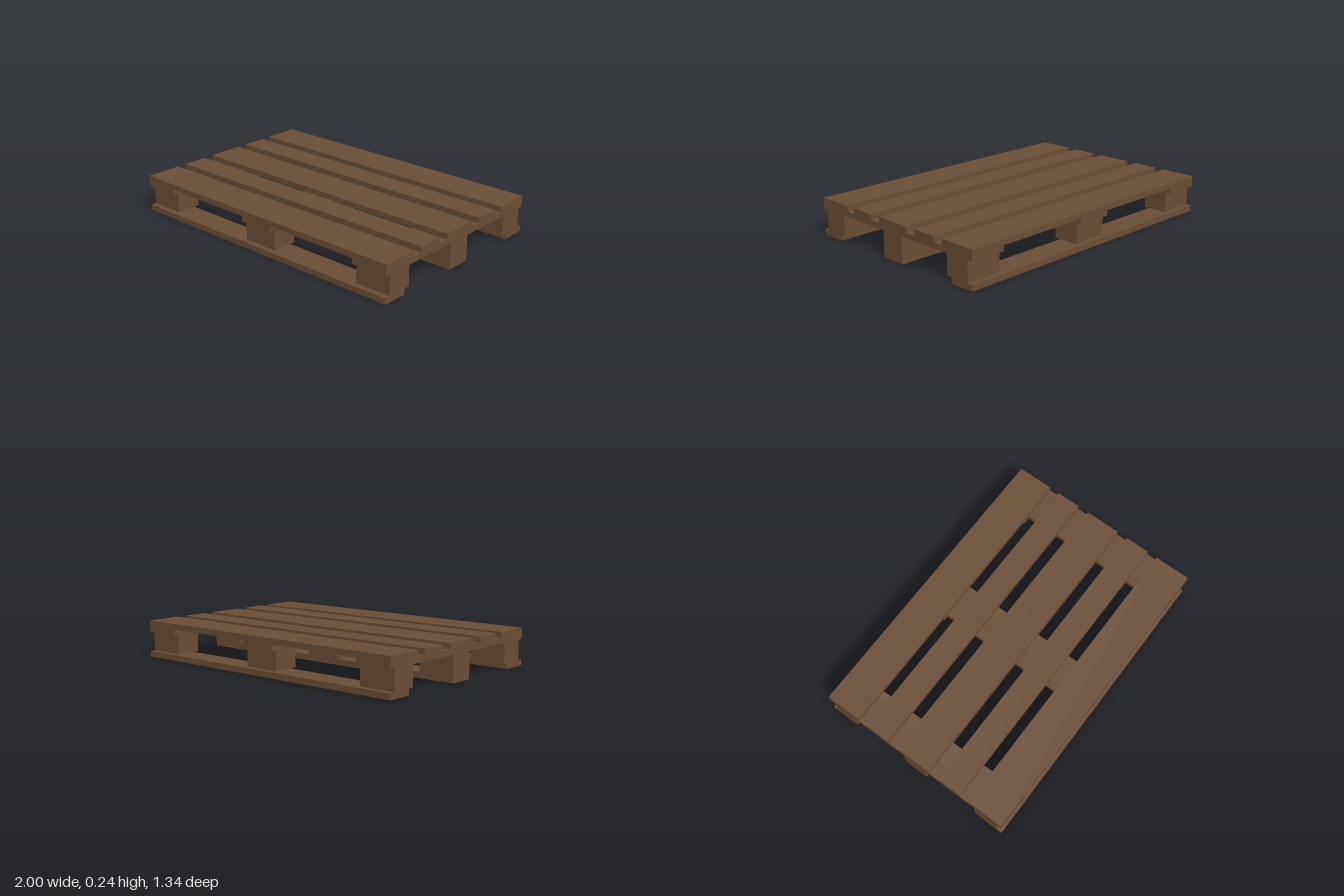
import * as THREE from 'three';

export function createModel() {
  const pallet = new THREE.Group();
  pallet.name = 'pallet';
  const wood = new THREE.MeshStandardMaterial({ color: 0x6b4e35 });
  wood.name = 'brown wood';

  // Layer heights, bottom to top
  const Y = [0, 0.037, 0.168, 0.203, 0.24];
  const supportX = [-0.88, 0, 0.88];
  const supportWidth = 0.24;

  // Plank filling one layer, given its centre and footprint
  function plank(name, layer, x, z, width, depth) {
    const height = Y[layer + 1] - Y[layer];
    const mesh = new THREE.Mesh(new THREE.BoxGeometry(width, height, depth), wood);
    mesh.position.set(x, Y[layer] + height / 2, z);
    mesh.name = name;
    pallet.add(mesh);
  }

  // Bottom runners
  for (const z of [-0.585, 0, 0.585]) plank('bottomBoard', 0, 0, z, 2, 0.165);

  // Nine spacer blocks, the outer rows set slightly inwards
  for (const x of supportX) {
    for (const z of [-0.549, 0, 0.549]) plank('block', 1, x, z, supportWidth, 0.166);
  }

  // Cross boards running front to back
  for (const x of supportX) plank('crossBoard', 2, x, 0, supportWidth, 1.334);

  // Deck: alternating wide and narrow boards
  const deck = [[-0.547, 0.24], [-0.277, 0.164], [0, 0.24], [0.277, 0.164], [0.547, 0.24]];
  for (const [z, depth] of deck) plank('deckBoard', 3, 0, z, 2, depth);

  return pallet;
}
